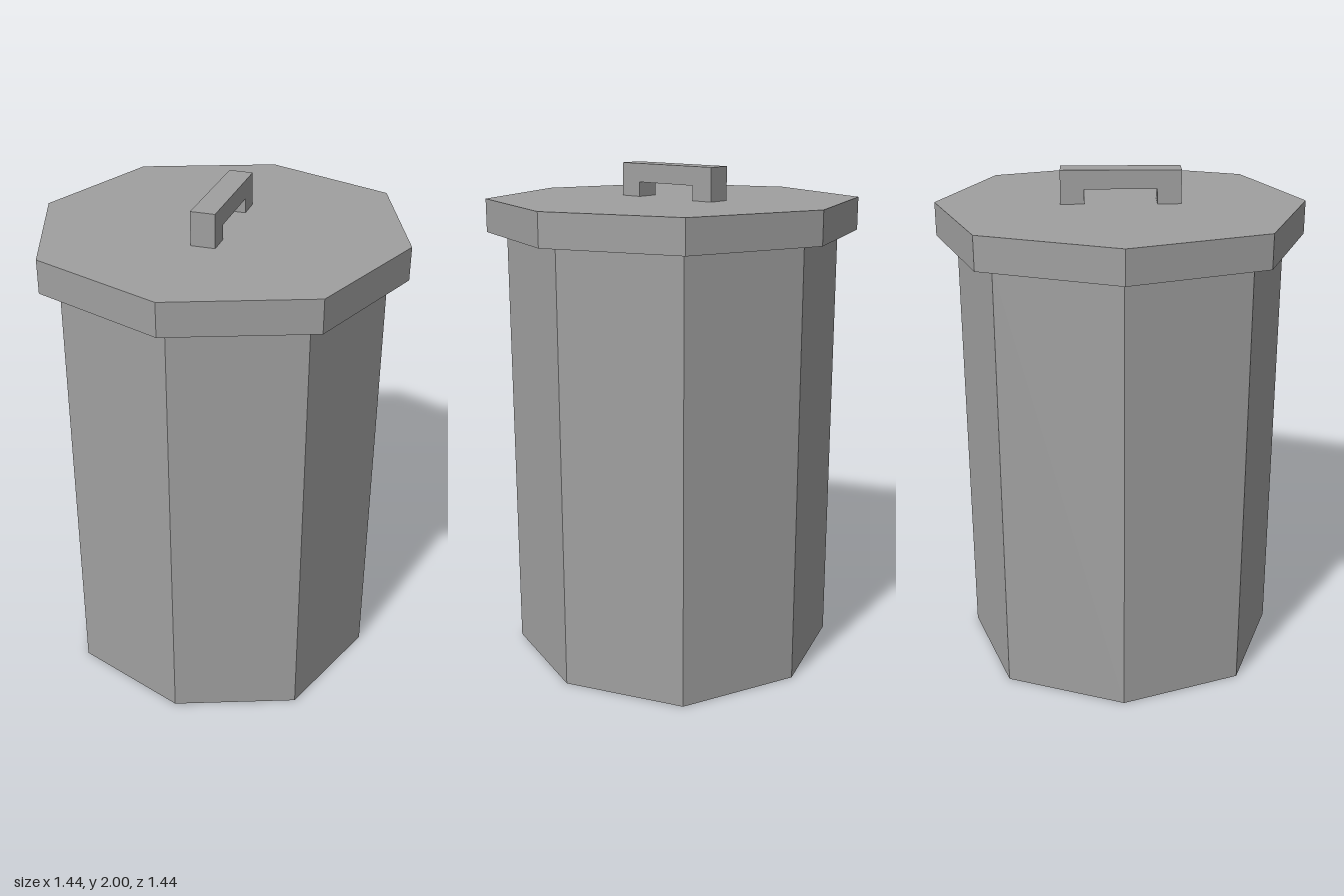
import * as THREE from 'three';

// Octagonal prism with corners on the axes and slightly pushed-out diagonals
function octagonPrism(r, d, y0, y1) {
  const points = [[r, 0], [d, d], [0, r], [-d, d], [-r, 0], [-d, -d], [0, -r], [d, -d]];
  const shape = new THREE.Shape(points.map(([x, y]) => new THREE.Vector2(x, y)));
  const geometry = new THREE.ExtrudeGeometry(shape, { depth: y1 - y0, bevelEnabled: false });
  return geometry.rotateX(-Math.PI / 2).translate(0, y0, 0);
}

// U-shaped grip, drawn in the side plane and extruded across x
function handleGeometry() {
  const outer = 0.232, inner = 0.14, base = 1.87, gap = 1.927, top = 2, width = 0.094;
  const points = [
    [-outer, base], [-inner, base], [-inner, gap], [inner, gap],
    [inner, base], [outer, base], [outer, top], [-outer, top],
  ];
  const shape = new THREE.Shape(points.map(([x, y]) => new THREE.Vector2(x, y)));
  const geometry = new THREE.ExtrudeGeometry(shape, { depth: width, bevelEnabled: false });
  return geometry.translate(0, 0, -width / 2).rotateY(Math.PI / 2);
}

export function createModel() {
  const group = new THREE.Group();
  group.name = 'trashCan';

  const grey = new THREE.MeshStandardMaterial({ color: 0xa0a0a0 });
  grey.name = 'grey metal';

  const add = (name, geometry) => {
    const mesh = new THREE.Mesh(geometry, grey);
    mesh.name = name;
    group.add(mesh);
  };

  add('body', octagonPrism(0.638, 0.466, 0, 1.74));
  add('lid', octagonPrism(0.718, 0.522, 1.74, 1.87));
  add('handle', handleGeometry());

  return group;
}
